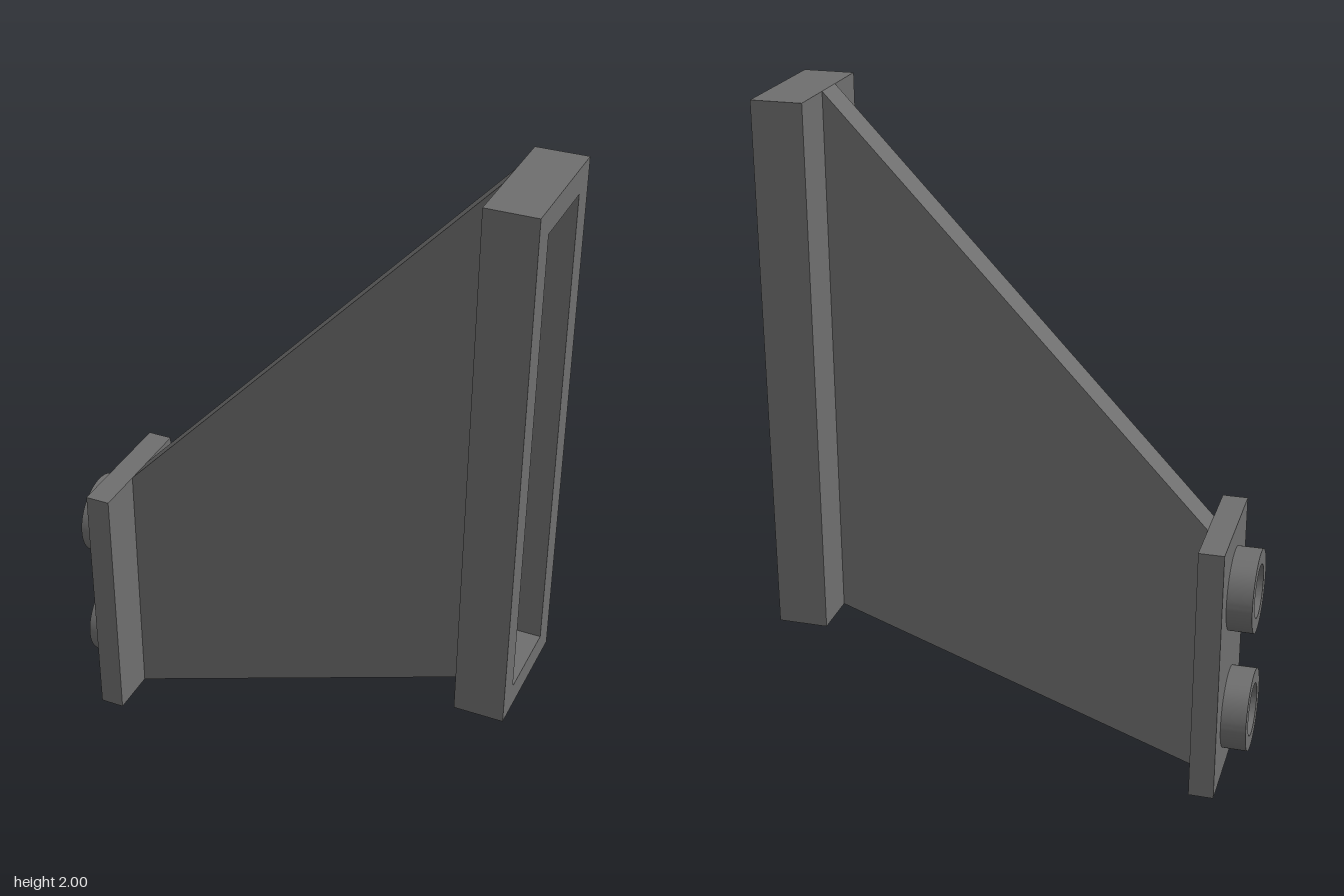
import * as THREE from 'three';
import { toCreasedNormals } from 'three/addons/utils/BufferGeometryUtils.js';

export function createModel() {
  const model = new THREE.Group();
  const material = new THREE.MeshStandardMaterial({ color: 0x6e6e6e });

  const add = (name, geometry) => {
    const mesh = new THREE.Mesh(geometry, material);
    mesh.name = name;
    model.add(mesh);
    return mesh;
  };

  // Box given by its extents in x and y and its full depth in z
  const box = (name, x0, x1, y0, y1, depth) =>
    add(name, new THREE.BoxGeometry(x1 - x0, y1 - y0, depth))
      .position.set((x0 + x1) / 2, (y0 + y1) / 2, 0);

  const polygon = (points, Type = THREE.Shape) =>
    new Type(points.map(([x, y]) => new THREE.Vector2(x, y)));
  const rect = (w, y0, y1, Type) =>
    polygon([[-w, y0], [w, y0], [w, y1], [-w, y1]], Type);

  // Extrude a z-y outline along x, starting at x0
  const extrudeX = (shape, x0, length) => {
    const geometry = new THREE.ExtrudeGeometry(shape, {
      depth: length, bevelEnabled: false, curveSegments: 40,
    });
    geometry.rotateY(Math.PI / 2).translate(x0, 0, 0);
    return toCreasedNormals(geometry, Math.PI / 6);
  };

  // Tapered web joining the two ends
  const web = new THREE.ExtrudeGeometry(
    polygon([[-0.5625, 0], [0.5625, 0.4], [0.5625, 2], [-0.5625, 0.8]]),
    { depth: 0.1, bevelEnabled: false });
  add('web', web.translate(0, 0, -0.05));

  // Tall end block: open frame with a recessed panel
  const frame = rect(0.2, 0.4, 2);
  frame.holes.push(rect(0.125, 0.475, 1.925, THREE.Path));
  add('endFrame', extrudeX(frame, 0.5625, 0.15));
  box('recessPanel', 0.5625, 0.6375, 0.475, 1.925, 0.25);

  // Short end plate with two hollow studs
  box('studPlate', -0.6375, -0.5625, 0, 0.8, 0.4);
  for (const [name, y] of [['lowerStud', 0.2], ['upperStud', 0.6]]) {
    const ring = new THREE.Shape().absarc(0, y, 0.125, 0, Math.PI * 2);
    ring.holes.push(new THREE.Path().absarc(0, y, 0.08, 0, Math.PI * 2, true));
    add(name, extrudeX(ring, -0.7125, 0.075));
  }

  return model;
}
